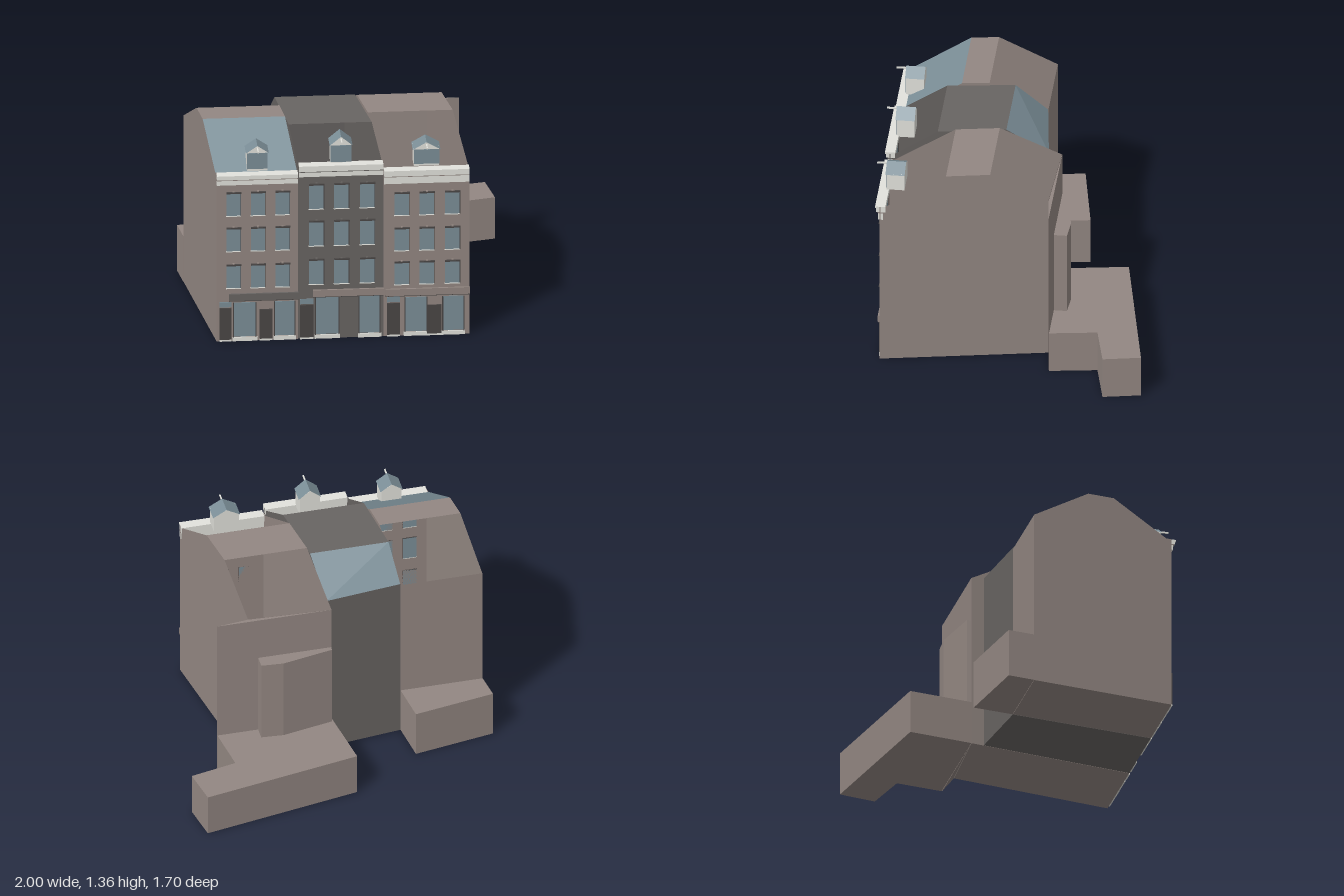
import * as THREE from 'three';

const mat = (name, color) => {
  const m = new THREE.MeshStandardMaterial({ color, side: THREE.DoubleSide, flatShading: true });
  m.name = name;
  return m;
};

export function createModel() {
  const root = new THREE.Group();
  root.name = 'terracedHouses';
  const brown = mat('brownRender', 0x938782);
  const dark = mat('darkRender', 0x686462);
  const slate = mat('slateGlass', 0x7b8e97);
  const cream = mat('creamTrim', 0xe2e2dc);
  const door = mat('darkTimber', 0x4a4645);

  const add = (parent, name, geo, m) => {
    const mesh = new THREE.Mesh(geo, m);
    mesh.name = name;
    parent.add(mesh);
    return mesh;
  };
  // flat convex polygon, corners anticlockwise from outside
  const face = (parent, name, pts, m) => {
    const pos = [];
    for (let i = 1; i < pts.length - 1; i++) pos.push(...pts[0], ...pts[i], ...pts[i + 1]);
    const g = new THREE.BufferGeometry();
    g.setAttribute('position', new THREE.Float32BufferAttribute(pos, 3));
    g.computeVertexNormals();
    return add(parent, name, g, m);
  };
  // box given by its limits
  const box = (parent, name, x0, x1, y0, y1, z0, z1, m) => {
    const g = new THREE.BoxGeometry(x1 - x0, y1 - y0, z1 - z0);
    g.translate((x0 + x1) / 2, (y0 + y1) / 2, (z0 + z1) / 2);
    return add(parent, name, g, m);
  };
  // upright block on a plan outline of [x, z] points
  const block = (parent, name, plan, y0, y1, m) => {
    const s = new THREE.Shape(plan.map(([x, z]) => new THREE.Vector2(x, -z)));
    const g = new THREE.ExtrudeGeometry(s, { depth: y1 - y0, bevelEnabled: false });
    g.rotateX(-Math.PI / 2).translate(0, y0, 0);
    return add(parent, name, g, m);
  };

  const F = 0.805; // street front plane
  const houses = [
    {
      name: 'leftHouse', m: brown, left: [-0.84, -0.975, -0.11], right: [-0.33, -0.452, -0.11],
      eaves: 1.13, rearEaves: 1.13, ridge: 1.34, zf: 0.42, zr: 0.25, frontRoof: true,
      cols: [-0.733, -0.58, -0.428], rows: [0.36, 0.61, 0.85], w: 0.086, h: 0.155,
      shop: [[-0.73, -0.595], [-0.475, -0.355]], shopTop: 0.26, doors: [[-0.82, -0.745, 0.225], [-0.57, -0.49, 0.21]],
      fascia: [-0.76, -0.33, 0.275, 0.32], fm: dark, cornice: [1.06, 1.1, 1.13],
      dormer: [-0.583, 0.068, 1.14, 1.265, 1.31],
    },
    {
      name: 'middleHouse', m: dark, left: [-0.33, -0.452, -0.11], right: [0.2, 0.035, -0.17],
      eaves: 1.17, rearEaves: 1.14, ridge: 1.325, zf: 0.51, zr: 0.09, rearRoof: true,
      cols: [-0.218, -0.062, 0.097], rows: [0.37, 0.63, 0.88], w: 0.09, h: 0.165,
      shop: [[-0.22, -0.08], [0.05, 0.175]], shopTop: 0.28, doors: [[-0.32, -0.235, 0.23]],
      fascia: [-0.24, 0.2, 0.285, 0.33], fm: brown, cornice: [1.1, 1.14, 1.18],
      dormer: [-0.063, 0.068, 1.17, 1.3, 1.355],
    },
    {
      name: 'rightHouse', m: brown, left: [0.2, 0.02, -0.25], right: [0.735, 0.55, -0.225],
      eaves: 1.13, rearEaves: 1.13, ridge: 1.34, zf: 0.4, zr: 0.13,
      cols: [0.312, 0.468, 0.627], rows: [0.35, 0.58, 0.82], w: 0.09, h: 0.15,
      shop: [[0.335, 0.465], [0.57, 0.695]], shopTop: 0.26, doors: [[0.22, 0.3, 0.225], [0.47, 0.56, 0.205]],
      fascia: [0.21, 0.735, 0.275, 0.32], fm: brown, cornice: [1.035, 1.09, 1.13],
      dormer: [0.468, 0.083, 1.14, 1.255, 1.3],
    },
  ];

  for (const h of houses) {
    const g = new THREE.Group();
    g.name = h.name;
    root.add(g);
    // point on a slanting side wall at depth z
    const at = (side, y, z) => {
      const [x0, x1, zb] = h[side];
      const inset = side === 'left' ? 0.002 : -0.002;
      return [x0 + ((F - z) / (F - zb)) * (x1 - x0) + inset, y, z];
    };
    const outline = (s) => {
      const zb = h[s][2];
      return [at(s, 0, F), at(s, h.eaves, F), at(s, h.eaves, 0.77), at(s, h.ridge, h.zf),
        at(s, h.ridge, h.zr), at(s, h.rearEaves, zb), at(s, 0, zb)];
    };
    const L = outline('left'), R = outline('right');
    // fan from the front eaves keeps the gable convex
    face(g, 'leftGableWall', [L[3], L[4], L[5], L[6], L[0], L[1], L[2]].reverse(), h.m);
    face(g, 'rightGableWall', [R[3], R[4], R[5], R[6], R[0], R[1], R[2]].reverse(), h.m);
    face(g, 'frontWall', [L[0], R[0], R[1], L[1]], h.m);
    face(g, 'rearWall', [R[6], L[6], L[5], R[5]], h.m);
    face(g, 'floor', [L[0], L[6], R[6], R[0]], h.m);
    face(g, 'flatRoof', [L[3], R[3], R[4], L[4]], h.m);
    if (h.frontRoof) face(g, 'frontRoofSlope', [L[2], R[2], R[3], L[3]], slate);
    if (h.rearRoof) face(g, 'rearRoofSlope', [L[4], R[4], R[5], L[5]], slate);

    // stepped cornice
    const x0 = h.left[0] + 0.003, x1 = h.right[0] - 0.003, [c0, c1, c2] = h.cornice;
    box(g, 'frieze', x0, x1, c0, c1 - 0.008, F - 0.02, F + 0.01, cream);
    box(g, 'corniceShadowBand', x0, x1, c1 - 0.008, c1, F - 0.02, F + 0.014, h.m);
    box(g, 'cornice', x0, x1, c1, c2 - 0.012, F - 0.035, F + 0.022, cream);
    box(g, 'corniceCap', x0, x1, c2 - 0.012, c2, F - 0.035, F + 0.029, cream);

    // upper windows with lintel, sill and one jamb
    for (const y of h.rows) for (const x of h.cols) {
      const a = x - h.w / 2, b = x + h.w / 2, t = y + h.h;
      box(g, 'windowPane', a, b, y, t, F, F + 0.004, slate);
      box(g, 'windowLintel', a, b + 0.006, t - 0.004, t + 0.005, F, F + 0.012, door);
      box(g, 'windowKeystone', x - 0.006, x + 0.006, t, t + 0.012, F, F + 0.01, h.m);
      box(g, 'windowSill', a - 0.003, b + 0.003, y - 0.005, y, F, F + 0.008, cream);
      box(g, 'windowJamb', b, b + 0.004, y, t, F, F + 0.008, door);
    }

    // shopfront
    for (const [a, b] of h.shop) {
      box(g, 'shopWindow', a, b, 0.03, h.shopTop, F, F + 0.004, slate);
      box(g, 'shopSill', a - 0.01, b + 0.01, 0, 0.026, F, F + 0.008, cream);
      for (const x of [a - 0.006, b]) box(g, 'shopFrame', x, x + 0.006, 0.026, h.shopTop, F, F + 0.008, door);
    }
    h.doors.forEach(([a, b, top], i) => {
      box(g, 'door', a, b, 0.012, top, F, F + 0.009, door);
      box(g, 'doorStep', a, b, 0, 0.012, F, F + 0.009, cream);
      if (i === 0) box(g, 'fanlight', a, b, top + 0.006, top + 0.04, F, F + 0.005, slate);
    });
    const [f0, f1, f2, f3] = h.fascia;
    box(g, 'shopFascia', f0, f1, f2, f3, F, F + 0.012, h.fm);
    box(g, 'fasciaMoulding', f0, f1, f2 - 0.005, f2, F, F + 0.009, door);

    // dormer
    const [dx, hw, y0, y1, y2] = h.dormer, zb = 0.67, zf = 0.787;
    const d = new THREE.Group();
    d.name = 'dormer';
    d.position.x = dx;
    g.add(d);
    const w = hw - 0.004;
    const s = new THREE.Shape([[-w, y0], [w, y0], [w, y1], [0, y2 - 0.003], [-w, y1]].map((p) => new THREE.Vector2(...p)));
    const body = new THREE.ExtrudeGeometry(s, { depth: zf - zb - 0.004, bevelEnabled: false });
    add(d, 'dormerWalls', body.translate(0, 0, zb + 0.002), cream);
    box(d, 'dormerWindow', -w, w, y0 + 0.014, y1 - 0.004, zf - 0.002, zf + 0.001, slate);
    for (const k of [-1, 1]) {
      const e = [k * (hw + 0.003), y1 - 0.004];
      face(d, 'dormerRoof', [[...e, zf + 0.003], [...e, zb], [0, y2, zb], [0, y2, zf + 0.003]], slate);
    }
    box(d, 'finial', -0.004, 0.004, y2 - 0.022, y2 - 0.012, zf, 0.85, cream);
  }

  // rear additions
  block(root, 'leftRearExtension', [[-0.975, -0.112], [-1, -0.28], [-0.487, -0.37], [-0.452, -0.112]], 0, 0.31, brown);
  block(root, 'rearWingWall', [[0.55, -0.227], [0.75, -0.25], [0.022, -0.252]], 0, 1.13, brown);
  block(root, 'rightRearExtension', [[0.02, -0.253], [-0.043, -0.66], [0.955, -0.85], [1, -0.615], [0.707, -0.55], [0.75, -0.253]], 0, 0.28, brown);
  block(root, 'rearBay', [[0.024, -0.253], [0.026, -0.28], [0.35, -0.345], [0.49, -0.335], [0.49, -0.253]], 0.28, 0.84, brown);
  return root;
}
